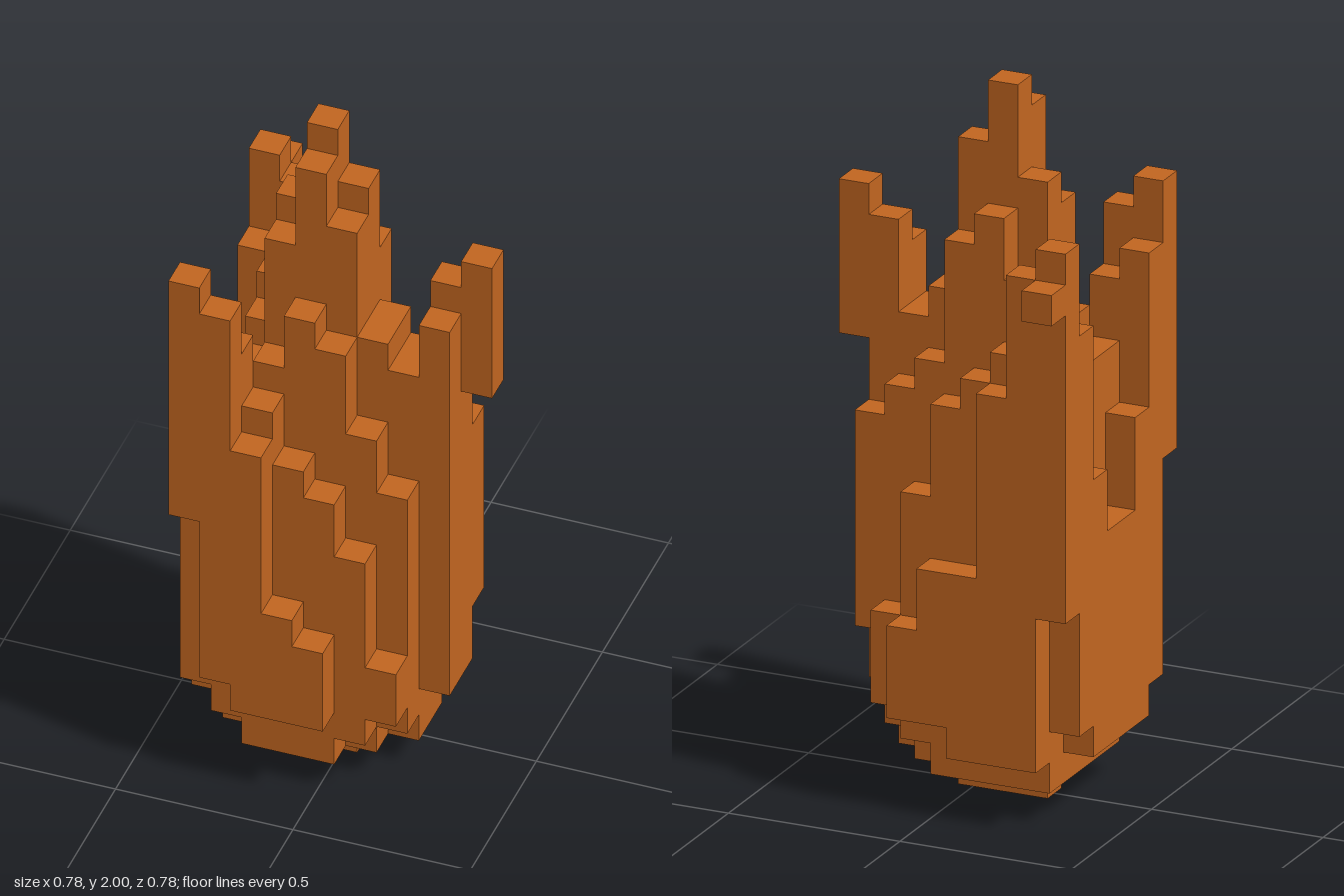
import * as THREE from 'three';
import { mergeGeometries } from 'three/addons/utils/BufferGeometryUtils.js';

const U = 2 / 23; // edge of one block

// Top of each block column: rows run back to front, entries run from -x to +x
const TOPS = [
  [18],
  [19, 18, 14, 8, 8, 6],
  [16, 16, 15, 14, 13, 10, 6],
  [11, 16, 17, 19, 18, 14, 13, 12],
  [9, 15, 20, 23, 21, 16, 15, 18, 19],
  [9, 14, 19, 22, 20, 16, 15, 17],
  [12, 14, 15, 17, 16, 13, 11],
  [17, 16, 14, 12, 11, 9, 5],
  [19, 18, 13, 7, 6],
];
// Underside of each column, rounding into a stepped bowl
const BASES = [
  [17],
  [7, 2, 2, 2, 3, 3],
  [3, 1, 1, 1, 1, 2, 3],
  [2, 1, 1, 1, 1, 1, 2, 5],
  [2, 1, 0, 0, 0, 1, 1, 3, 14],
  [2, 1, 1, 0, 0, 1, 1, 3],
  [2, 1, 1, 1, 1, 1, 2],
  [3, 2, 1, 1, 1, 2, 3],
  [10, 4, 3, 3, 3],
];

const column = (i, k) => {
  const top = TOPS[k]?.[i];
  return top === undefined ? null : [BASES[k][i], top];
};

// Parts of a column's height not covered by its neighbour
function exposed([lo, hi], other) {
  if (!other) return [[lo, hi]];
  return [[lo, Math.min(hi, other[0])], [Math.max(lo, other[1]), hi]].filter(([a, b]) => b > a);
}

// Outer faces of one row of columns
function rowGeometry(k) {
  const faces = [];
  const z = (k - 4) * U;
  TOPS[k].forEach((top, i) => {
    const x = (i - 4) * U;
    const span = column(i, k);
    // caps
    faces.push(new THREE.PlaneGeometry(U, U).rotateX(-Math.PI / 2).translate(x, span[1] * U, z));
    faces.push(new THREE.PlaneGeometry(U, U).rotateX(Math.PI / 2).translate(x, span[0] * U, z));
    // four walls: +z, +x, -z, -x
    [[0, 1], [1, 0], [0, -1], [-1, 0]].forEach(([dx, dz], side) => {
      for (const [a, b] of exposed(span, column(i + dx, k + dz))) {
        faces.push(new THREE.PlaneGeometry(U, (b - a) * U)
          .translate(0, 0, U / 2)
          .rotateY(side * Math.PI / 2)
          .translate(x, (a + b) / 2 * U, z));
      }
    });
  });
  return mergeGeometries(faces);
}

export function createModel() {
  const flameOrange = new THREE.MeshStandardMaterial({ color: 0xc16520 });
  flameOrange.name = 'flameOrange';
  const model = new THREE.Group();
  model.name = 'blockFlame';
  TOPS.forEach((row, k) => {
    const mesh = new THREE.Mesh(rowGeometry(k), flameOrange);
    mesh.name = `flameRow${k + 1}`;
    model.add(mesh);
  });
  return model;
}
